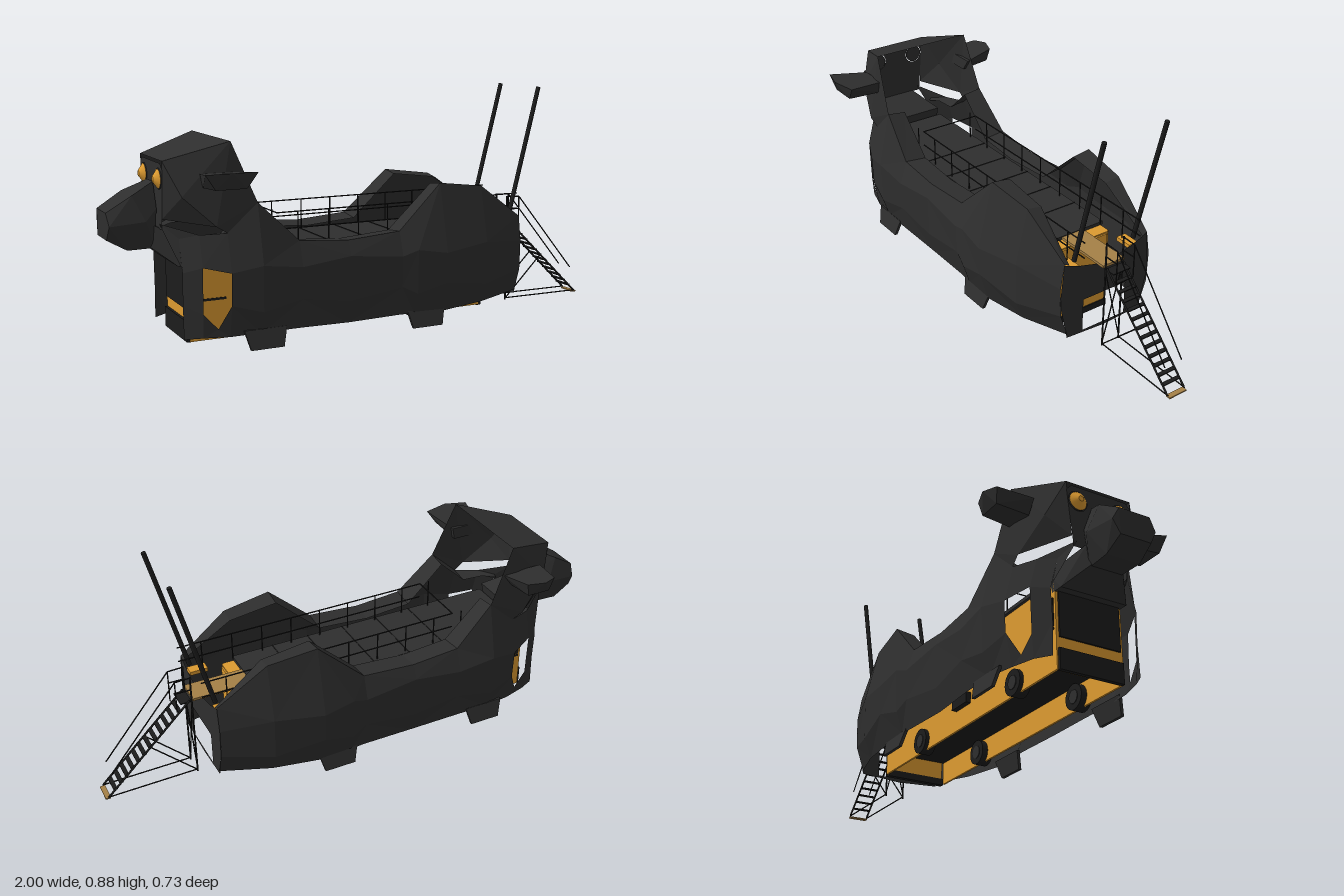
import * as THREE from 'three';
import { ConvexGeometry } from 'three/addons/geometries/ConvexGeometry.js';

const mat = (name, color, extra = {}) => {
  const m = new THREE.MeshStandardMaterial({ color, ...extra });
  m.name = name;
  return m;
};

export function createModel() {
  const root = new THREE.Group();
  const g = new THREE.Group();
  g.name = 'costumedBus';
  g.position.z = -0.0125;
  root.add(g);

  const hide = mat('charcoal hide', 0x2e2e2e, { side: THREE.DoubleSide, flatShading: true });
  const metal = mat('black metal', 0x1c1c1c);
  const orange = mat('bus orange', 0xdc9a30, { side: THREE.DoubleSide });
  const timber = mat('brown timber', 0xa58046);
  const grey = mat('grey glass', 0xa0a4a8);
  const V = (x, y, z) => new THREE.Vector3(x, y, z);

  const add = (name, geo, m) => {
    const mesh = new THREE.Mesh(geo, m);
    mesh.name = name;
    g.add(mesh);
    return mesh;
  };
  // box given by its x, y and z ranges
  const box = (name, m, x0, x1, y0, y1, z0, z1) => {
    const geo = new THREE.BoxGeometry(x1 - x0, y1 - y0, z1 - z0);
    geo.translate((x0 + x1) / 2, (y0 + y1) / 2, (z0 + z1) / 2);
    return add(name, geo, m);
  };
  // round bar between two points
  const bar = (name, a, b, r = 0.0025, sides = 6) => {
    const d = b.clone().sub(a);
    const mesh = add(name, new THREE.CylinderGeometry(r, r, d.length(), sides), metal);
    mesh.position.copy(a).add(b).multiplyScalar(0.5);
    mesh.quaternion.setFromUnitVectors(V(0, 1, 0), d.normalize());
  };
  const facets = (name, polys) => {
    const pts = [];
    polys.forEach(p => {
      for (let i = 1; i < p.length - 1; i++) pts.push(p[0], p[i], p[i + 1]);
    });
    const geo = new THREE.BufferGeometry().setFromPoints(pts);
    geo.computeVertexNormals();
    return add(name, geo, hide);
  };
  // flat panel drawn in (z, y) and standing across the bus at x
  const crossPanel = (name, x, outline, holes) => {
    const shape = new THREE.Shape(outline.map(p => new THREE.Vector2(...p)));
    shape.holes.push(...holes);
    const geo = new THREE.ShapeGeometry(shape, 16);
    geo.rotateY(-Math.PI / 2);
    geo.translate(x, 0, 0);
    return add(name, geo, hide);
  };

  // Faceted side shells: x, top y, top z, middle z, bottom y, bottom z
  const stations = [
    [-0.77, 0.4, 0.14, 0.17, 0.05, 0.17],
    [-0.71, 0.415, 0.18, 0.21, 0.055, 0.2],
    [-0.62, 0.42, 0.215, 0.25, 0.055, 0.225],
    [-0.51, 0.52, 0.22, 0.27, 0.06, 0.24],
    [-0.36, 0.375, 0.235, 0.265, 0.06, 0.24],
    [-0.17, 0.36, 0.235, 0.258, 0.055, 0.235],
    [0.04, 0.375, 0.235, 0.265, 0.06, 0.24],
    [0.1, 0.43, 0.23, 0.275, 0.06, 0.245],
    [0.22, 0.54, 0.22, 0.282, 0.055, 0.245],
    [0.41, 0.515, 0.205, 0.255, 0.065, 0.22],
    [0.6, 0.38, 0.185, 0.2, 0.08, 0.165],
  ];
  for (const s of [1, -1]) {
    const rings = stations.map(([x, ty, tz, mz, by, bz], i) => [
      V(x, ty - 0.01, s * Math.min(i > 9 ? 0.165 : 0.145, tz - 0.01)),
      V(x, ty, s * tz),
      V(x, 0.285 + (i % 2) * 0.02, s * mz),
      V(x, 0.17 - (i % 2) * 0.03, s * (mz - 0.004)),
      V(x, by, s * bz),
    ]);
    const polys = [];
    for (let i = 0; i < rings.length - 1; i++) {
      for (let j = 0; j < 4; j++) {
        const [a, b, c, d] = [rings[i][j], rings[i + 1][j], rings[i + 1][j + 1], rings[i][j + 1]];
        if (i === 1 && j === 2) continue; // open window beside the driver
        if (i === 1 && j === 3) {
          const tip = V(-0.66, 0.085, s * 0.215);
          polys.push([a, tip, d], [b, c, tip], [d, tip, c]);
        } else if ((i + j) % 2) polys.push([a, b, c], [a, c, d]);
        else polys.push([a, b, d], [b, c, d]);
      }
    }
    // Pointed front of the shell beside the throat
    polys.push([V(-0.825, 0.45, s * 0.1), rings[0][1], V(-0.77, 0.3, s * 0.165)],
      [V(-0.825, 0.45, s * 0.1), rings[1][1], rings[0][1]]);
    facets('sideShell', polys);

    // Head cheek running down to the shoulder
    const A = V(-0.82, 0.468, s * 0.115), B = V(-0.82, 0.67, s * 0.13);
    const C = V(-0.6, 0.735, s * 0.205), D = V(-0.66, 0.445, s * 0.22);
    const M = V(-0.77, 0.55, s * 0.185);
    facets('headCheek', [[A, B, M], [B, C, M], [M, C, D], [A, M, D],
      [C, rings[3][1], D], [D, rings[3][1], rings[2][1]]]);

    // Feet
    for (const x of [-0.495, 0.15]) {
      const foot = [];
      for (const e of [-1, 1]) for (const dz of [0, 0.012]) {
        foot.push(V(x + e * 0.08, 0.075, s * (0.232 + dz)), V(x + e * 0.062, 0.006, s * (0.25 + dz)));
      }
      add('foot', new ConvexGeometry(foot), hide);
    }

    // Eye disc in its socket
    const eye = add('eye', new THREE.CylinderGeometry(0.034, 0.01, 0.018, 24), orange);
    eye.rotation.z = -Math.PI / 2;
    eye.position.set(-0.832, 0.605, s * 0.0865);
    eye.rotation.z = -Math.PI / 2;
    const back = add('eyeBacking', new THREE.CylinderGeometry(0.034, 0.034, 0.006, 24), hide);
    back.rotation.z = Math.PI / 2;
    back.position.set(-0.82, 0.605, s * 0.0865);

    // Ear: the left one flares outward, the right one tapers
    const [outer, lower, inner, reach] = s > 0 ? [0.093, 0.055, 0.06, 0.375] : [0.06, 0.045, 0.085, 0.352];
    const ear = [V(-0.655, 0.648, s * reach)];
    for (const e of [-1, 1]) {
      ear.push(V(-0.65 + e * outer, 0.645, s * (reach - 0.022)), V(-0.65 + e * lower, 0.59, s * (reach - 0.03)),
        V(-0.65 + e * inner, 0.628, s * 0.2), V(-0.65 + e * 0.05, 0.58, s * 0.2));
    }
    add(s > 0 ? 'leftEar' : 'rightEar', new ConvexGeometry(ear), hide);

    // Tail pole and its bracket
    bar('tailPole', V(0.585, 0.37, s * 0.133), V(0.715, 0.878, s * 0.133), 0.009, 10);
    box('poleBracket', orange, 0.52, 0.59, 0.33, 0.345, s * 0.133 - 0.02, s * 0.133 + 0.02);

    // Bus side, cab window and wheels
    box('busSide', orange, -0.73, 0.455, 0.027, 0.335, s * 0.126 - 0.004, s * 0.126 + 0.004);
    box('cabWindow', metal, -0.725, -0.69, 0.18, 0.28, s * 0.131 - 0.002, s * 0.131 + 0.002);
    box('sideTrim', metal, -0.725, -0.6, 0.168, 0.176, s * 0.131 - 0.002, s * 0.131 + 0.002);
    for (const x of [-0.495, 0.15]) {
      const wheel = add('wheel', new THREE.CylinderGeometry(0.047, 0.047, 0.045, 20), metal);
      wheel.rotation.x = Math.PI / 2;
      wheel.position.set(x, 0.066, s * 0.122);
      const hub = add('wheelHub', new THREE.CylinderGeometry(0.025, 0.025, 0.05, 12), hide);
      hub.rotation.x = Math.PI / 2;
      hub.position.copy(wheel.position);
    }

    // Roof railing
    for (const y of [0.4, 0.46]) bar('roofRail', V(-0.4, y, s * 0.125), V(0.63, y, s * 0.125));
    for (let i = 0; i <= 8; i++) {
      const x = -0.44 + i * 0.122;
      bar('railPost', V(x, 0.345, s * 0.125), V(x, 0.46, s * 0.125));
    }

    // Stair side: stringer, handrail, legs and braces
    const z = s * 0.038;
    bar('stringer', V(0.65, 0.335, z), V(0.985, 0.01, z), 0.004);
    bar('handrail', V(0.7, 0.43, z), V(0.965, 0.11, z));
    bar('stairLeg', V(0.642, 0.005, z), V(0.642, 0.435, z), 0.0035);
    bar('stairPost', V(0.7, 0.3, z), V(0.7, 0.43, z));
    bar('landingRail', V(0.642, 0.432, z), V(0.7, 0.43, z));
    bar('landingRail', V(0.642, 0.38, z), V(0.7, 0.38, z));
    bar('groundBar', V(0.642, 0.012, z), V(0.99, 0.008, z));
    bar('stairBrace', V(0.642, 0.01, z), V(0.815, 0.18, z));
    bar('backBrace', V(0.642, 0.02, z), V(0.642, 0.32, -z));
  }

  // Head top, face with eye sockets, snout and neck
  facets('headTop', [[V(-0.82, 0.67, 0.13), V(-0.6, 0.735, 0.205), V(-0.6, 0.735, -0.205), V(-0.82, 0.67, -0.13)]]);
  const sockets = [1, -1].map(s => new THREE.Path().absarc(s * 0.0865, 0.605, 0.037, 0, Math.PI * 2, true));
  crossPanel('face', -0.82, [[-0.11, 0.43], [0.11, 0.43], [0.13, 0.64], [0.11, 0.66], [-0.11, 0.66], [-0.13, 0.64]], sockets);
  const snout = [], neck = [];
  for (const s of [1, -1]) {
    snout.push(V(-1, 0.4, s * 0.06), V(-1, 0.495, s * 0.06), V(-0.995, 0.45, s * 0.085),
      V(-0.93, 0.36, s * 0.065), V(-0.91, 0.55, s * 0.07), V(-0.87, 0.46, s * 0.095),
      V(-0.83, 0.36, s * 0.06), V(-0.825, 0.5, s * 0.07), V(-0.825, 0.59, s * 0.035));
    neck.push(V(-0.85, 0.365, s * 0.06), V(-0.835, 0.44, s * 0.07), V(-0.77, 0.3, s * 0.13),
      V(-0.72, 0.3, s * 0.13), V(-0.7, 0.38, s * 0.13));
  }
  add('snout', new ConvexGeometry(snout), hide);
  add('neck', new ConvexGeometry(neck), hide);

  // Rear panel with doorway
  const door = new THREE.Path([[0.095, 0.07], [0.095, 0.2], [-0.095, 0.2], [-0.095, 0.07]].map(p => new THREE.Vector2(...p)));
  crossPanel('rearPanel', 0.598, [[-0.165, 0.065], [0, 0.055], [0.165, 0.065], [0.2, 0.22], [0.185, 0.375],
    [0.12, 0.35], [0.05, 0.332], [-0.05, 0.332], [-0.12, 0.35], [-0.185, 0.375], [-0.2, 0.22]], [door]);

  // Bus ends, floor, roof and platform
  box('busFront', orange, -0.735, -0.725, 0.027, 0.335, -0.13, 0.13);
  box('windscreen', metal, -0.741, -0.735, 0.14, 0.325, -0.12, 0.12);
  box('frontBumper', metal, -0.745, -0.73, 0.025, 0.1, -0.125, 0.125);
  box('busRear', orange, 0.452, 0.466, 0.045, 0.33, -0.115, 0.115);
  box('rearWindow', grey, 0.466, 0.47, 0.09, 0.15, -0.025, 0.05);
  box('rearTrim', metal, 0.466, 0.47, 0.183, 0.205, -0.075, 0.085);
  box('rearBumper', metal, 0.45, 0.47, 0.022, 0.048, -0.12, 0.12);
  box('busFloor', metal, -0.725, 0.452, 0.115, 0.13, -0.122, 0.122);
  box('sideLocker', metal, -0.2, -0.1, 0.1, 0.14, -0.15, -0.13);
  box('busTop', orange, -0.73, 0.46, 0.32, 0.335, -0.125, 0.125);
  box('roofDeck', hide, -0.7, 0.41, 0.335, 0.348, -0.14, 0.14);
  for (let i = 0; i < 5; i++) box('deckSeam', metal, -0.358 + i * 0.15, -0.354 + i * 0.15, 0.348, 0.35, -0.14, 0.14);
  box('platform', timber, 0.41, 0.64, 0.335, 0.345, -0.048, 0.048);
  bar('frontRail', V(-0.4, 0.46, -0.125), V(-0.4, 0.46, 0.125));

  // Stair landing, treads and foot plate
  box('stairLanding', metal, 0.642, 0.685, 0.326, 0.33, -0.038, 0.038);
  for (let i = 0; i < 12; i++) {
    const x = 0.69 + i * 0.0245, y = 0.296 - i * 0.0238;
    box('stairTread', metal, x - 0.008, x + 0.008, y - 0.002, y + 0.002, -0.038, 0.038);
  }
  box('stairFoot', timber, 0.98, 1, 0, 0.005, -0.038, 0.038);
  return root;
}
